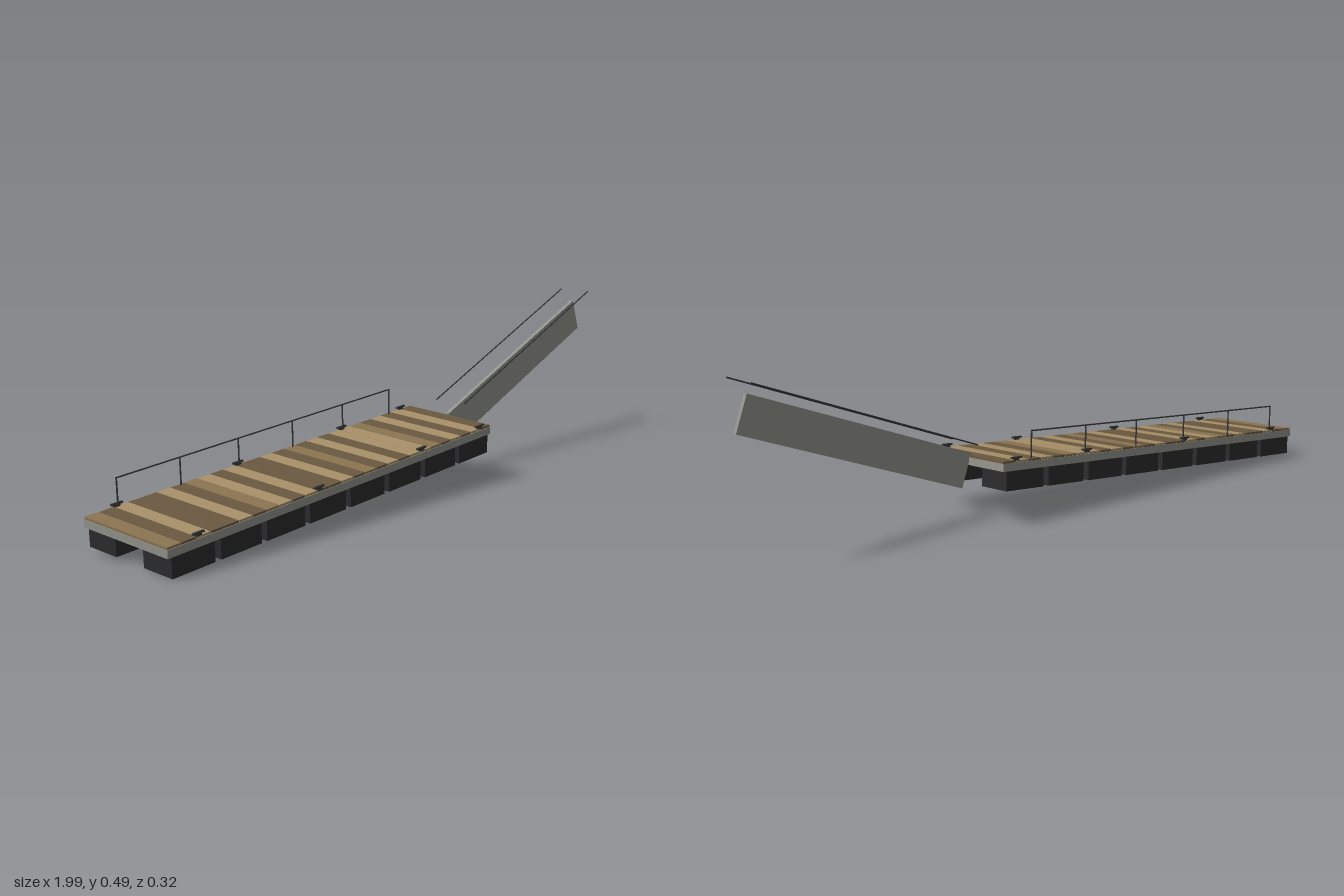
import * as THREE from 'three';

const mat = (name, color) => {
  const m = new THREE.MeshStandardMaterial({ color });
  m.name = name;
  return m;
};

export function createModel() {
  const lightWood = mat('lightWood', 0xa89068);
  const midWood = mat('midWood', 0x8a7350);
  const darkWood = mat('darkWood', 0x6b5840);
  const galvanised = mat('galvanisedMetal', 0x92938a);
  const floatPlastic = mat('floatPlastic', 0x2c2c2e);
  const darkMetal = mat('darkMetal', 0x363839);

  const model = new THREE.Group();
  model.name = 'floatingDock';

  const box = (parent, name, material, size, pos) => {
    const m = new THREE.Mesh(new THREE.BoxGeometry(...size), material);
    m.name = name;
    m.position.set(...pos);
    parent.add(m);
    return m;
  };
  // Thin round bar, upright or lying along x
  const bar = (parent, name, radius, length, pos, alongX) => {
    const g = new THREE.CylinderGeometry(radius, radius, length, 8);
    if (alongX) g.rotateZ(Math.PI / 2);
    const m = new THREE.Mesh(g, darkMetal);
    m.name = name;
    m.position.set(...pos);
    parent.add(m);
    return m;
  };

  // Dock section, listing slightly; local y = 0 is the underside of the frame
  const dock = new THREE.Group();
  dock.name = 'dock';
  dock.position.set(-0.376, 0.109, 0);
  dock.rotation.set(0.053, 0, 0.0697, 'ZYX');
  model.add(dock);

  const length = 1.245, frameH = 0.022, plankH = 0.006;
  const deckY = frameH + plankH;
  box(dock, 'frame', galvanised, [length, frameH, 0.314], [0, frameH / 2, 0]);

  // Two rows of floats
  for (let i = 0; i < 8; i++) {
    for (const s of [-1, 1]) {
      box(dock, 'float', floatPlastic, [0.136, 0.055, 0.104],
        [(i - 3.5) * 0.155, -0.0275, s * 0.104]);
    }
  }

  // Deck planks in three wood tones
  const tones = { L: lightWood, M: midWood, D: darkWood };
  const pattern = 'MDLDDLDMLDLDDLDMDLDLLMDLDLD';
  const pitch = length / pattern.length;
  [...pattern].forEach((t, i) => {
    box(dock, 'plank', tones[t], [pitch - 0.0016, plankH, 0.31],
      [(i + 0.5) * pitch - length / 2, frameH + plankH / 2, 0]);
  });

  // Mooring cleats along both edges
  for (const x of [-0.523, -0.108, 0.307, 0.574]) {
    for (const s of [-1, 1]) {
      const cleat = new THREE.Group();
      cleat.name = 'cleat';
      cleat.position.set(x, deckY, s * 0.153);
      dock.add(cleat);
      box(cleat, 'cleatBase', darkMetal, [0.018, 0.006, 0.008], [0, 0.003, 0]);
      box(cleat, 'cleatHorn', darkMetal, [0.036, 0.005, 0.007], [0, 0.0075, 0]);
    }
  }

  // Guard rail on the back edge
  const railH = 0.077, railZ = -0.148, step = 0.2076;
  for (let i = 0; i < 6; i++) {
    bar(dock, 'railPost', 0.0022, railH, [-0.523 + i * step, deckY + railH / 2, railZ]);
  }
  bar(dock, 'guardRail', 0.0022, step * 5 + 0.004,
    [-0.523 + step * 2.5, deckY + railH, railZ], true);

  // Gangway rising away from the dock, with a handrail each side
  const gangway = new THREE.Group();
  gangway.name = 'gangway';
  gangway.position.set(0.615, 0.2725, -0.022);
  gangway.rotation.set(0, 0.058, 0.356, 'YZX');
  model.add(gangway);
  box(gangway, 'gangwayBeam', galvanised, [0.774, 0.102, 0.0125], [0, 0, 0]);
  for (const s of [-1, 1]) {
    bar(gangway, 'gangwayHandrail', 0.002, 0.774, [0.029, 0.077, s * 0.052], true);
  }

  return model;
}
